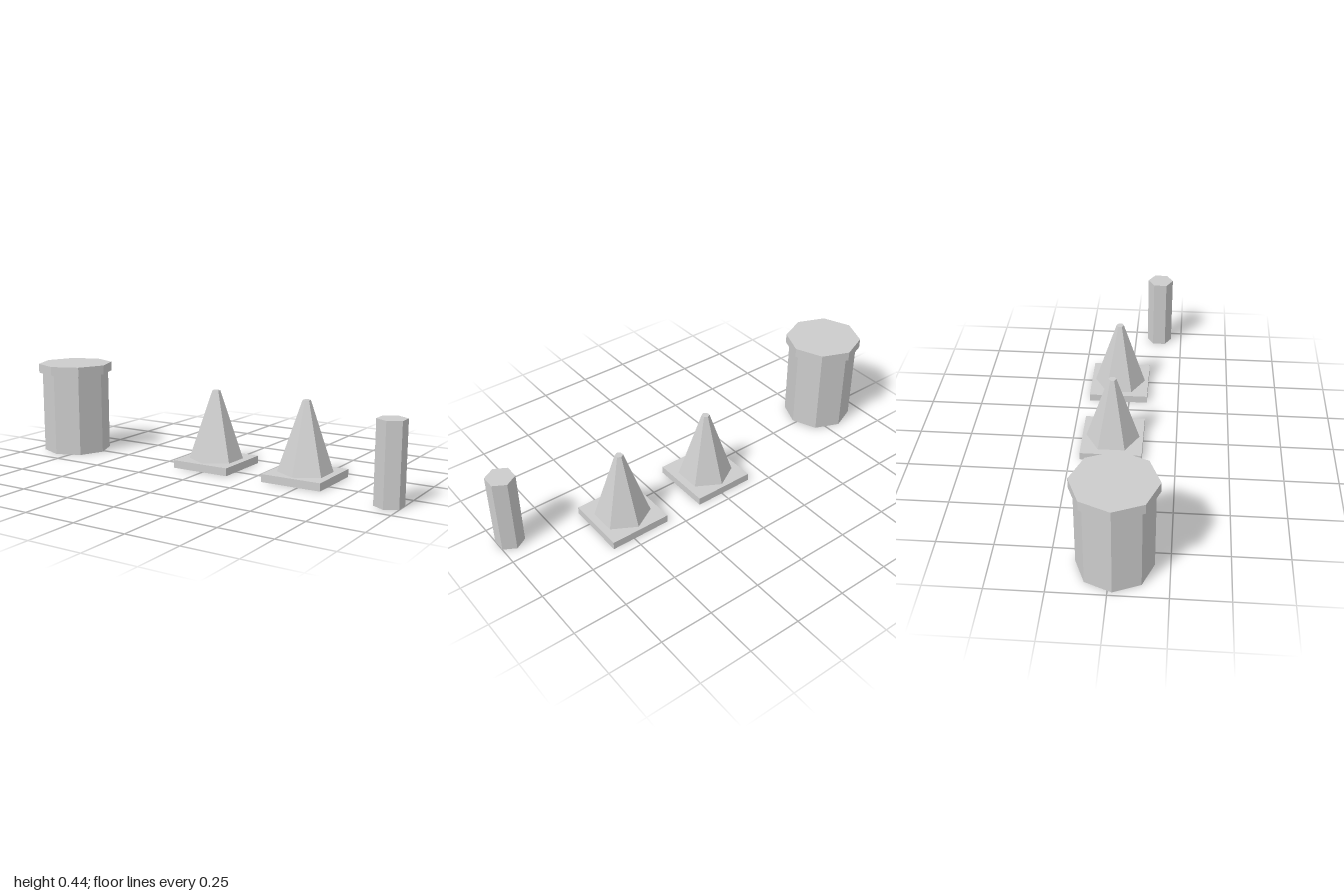
import * as THREE from 'three';

export function createModel() {
  const model = new THREE.Group();
  const grey = new THREE.MeshStandardMaterial({ color: 0xcccccc });
  grey.name = 'plain grey';

  // Faceted upright prism or frustum standing between two heights
  function prism(name, parent, sides, topRadius, bottomRadius, y0, y1) {
    const round = new THREE.CylinderGeometry(topRadius, bottomRadius, y1 - y0, sides);
    const geometry = round.toNonIndexed();
    geometry.computeVertexNormals();
    const mesh = new THREE.Mesh(geometry, grey);
    mesh.name = name;
    mesh.position.y = (y0 + y1) / 2;
    parent.add(mesh);
  }

  function place(name, x, z) {
    const group = new THREE.Group();
    group.name = name;
    group.position.set(x, 0, z);
    model.add(group);
    return group;
  }

  // Eight-sided barrel with a wider lid
  const barrel = place('barrel', -0.818, 0.019);
  prism('barrelBody', barrel, 8, 0.1655, 0.1655, 0, 0.4);
  prism('barrelLid', barrel, 8, 0.183, 0.183, 0.4, 0.445);

  // Two traffic cones on square bases
  [['rightCone', -0.0135], ['leftCone', 0.4635]].forEach(([name, x]) => {
    const cone = place(name, x, -0.055);
    const base = new THREE.Mesh(new THREE.BoxGeometry(0.292, 0.037, 0.292), grey);
    base.name = 'coneBase';
    base.position.y = 0.0185;
    cone.add(base);
    prism('coneBody', cone, 6, 0.0185, 0.128, 0.037, 0.367);
  });

  // Six-sided post
  const post = place('post', 0.943, 0.129);
  prism('postBody', post, 6, 0.0655, 0.0655, 0, 0.367);

  return model;
}
